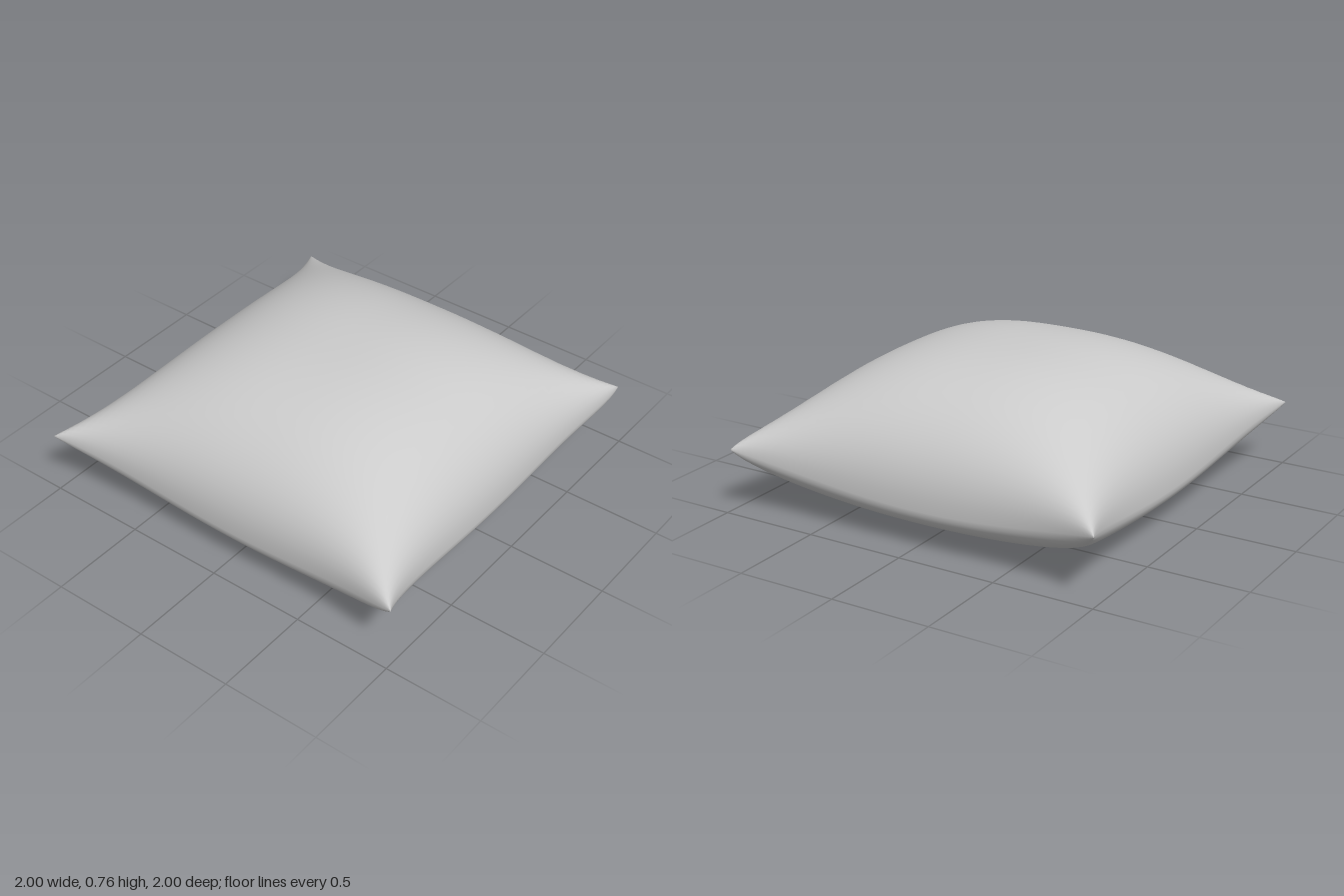
import * as THREE from 'three';
import { mergeVertices, mergeGeometries } from 'three/addons/utils/BufferGeometryUtils.js';

const SEGMENTS = 40;
const SEAM = 0.2;

// One puffed sheet of the cushion: side +1 is the top, -1 the underside
function sheet(side, puff) {
  const geo = new THREE.PlaneGeometry(2, 2, SEGMENTS, SEGMENTS);
  geo.rotateX(-side * Math.PI / 2);
  geo.deleteAttribute('uv');
  geo.deleteAttribute('normal');
  const pos = geo.attributes.position;
  // crowd the rows towards the seam, where the cloth turns over
  const ease = (t) => Math.round(Math.sin(t * Math.PI / 2) * 1e5) / 1e5;
  const fall = (t) => 1 - Math.abs(t) ** 2.5;
  for (let i = 0; i < pos.count; i++) {
    const u = ease(pos.getX(i)), v = ease(pos.getZ(i));
    const corner = (u * v) ** 12;
    // sides pull inwards between the pointed corners
    let x = u * (0.905 + 0.095 * v ** 4);
    let z = v * (0.9 + 0.1 * u ** 4);
    // slightly uneven front corners
    if (u < 0 && v > 0) x += 0.025 * corner;
    if (u > 0 && v > 0) z -= 0.04 * corner;
    // corners lift, the middle fills out
    const base = SEAM + 0.13 * (u * v) ** 2;
    const full = Math.max(0, fall(u) * fall(v)) ** 0.45;
    const end = side > 0 ? SEAM + puff : SEAM - puff;
    pos.setXYZ(i, x, base + (end - base) * full, z);
  }
  return geo;
}

export function createModel() {
  const model = new THREE.Group();
  model.name = 'cushion';

  // Join both sheets at the seam into one smooth skin
  const skin = mergeVertices(mergeGeometries([sheet(1, 0.56), sheet(-1, 0.2)]), 1e-4);
  skin.computeVertexNormals();

  const cover = new THREE.Mesh(skin, new THREE.MeshStandardMaterial({ color: 0xcccccc }));
  cover.name = 'cushionCover';
  model.add(cover);
  return model;
}
